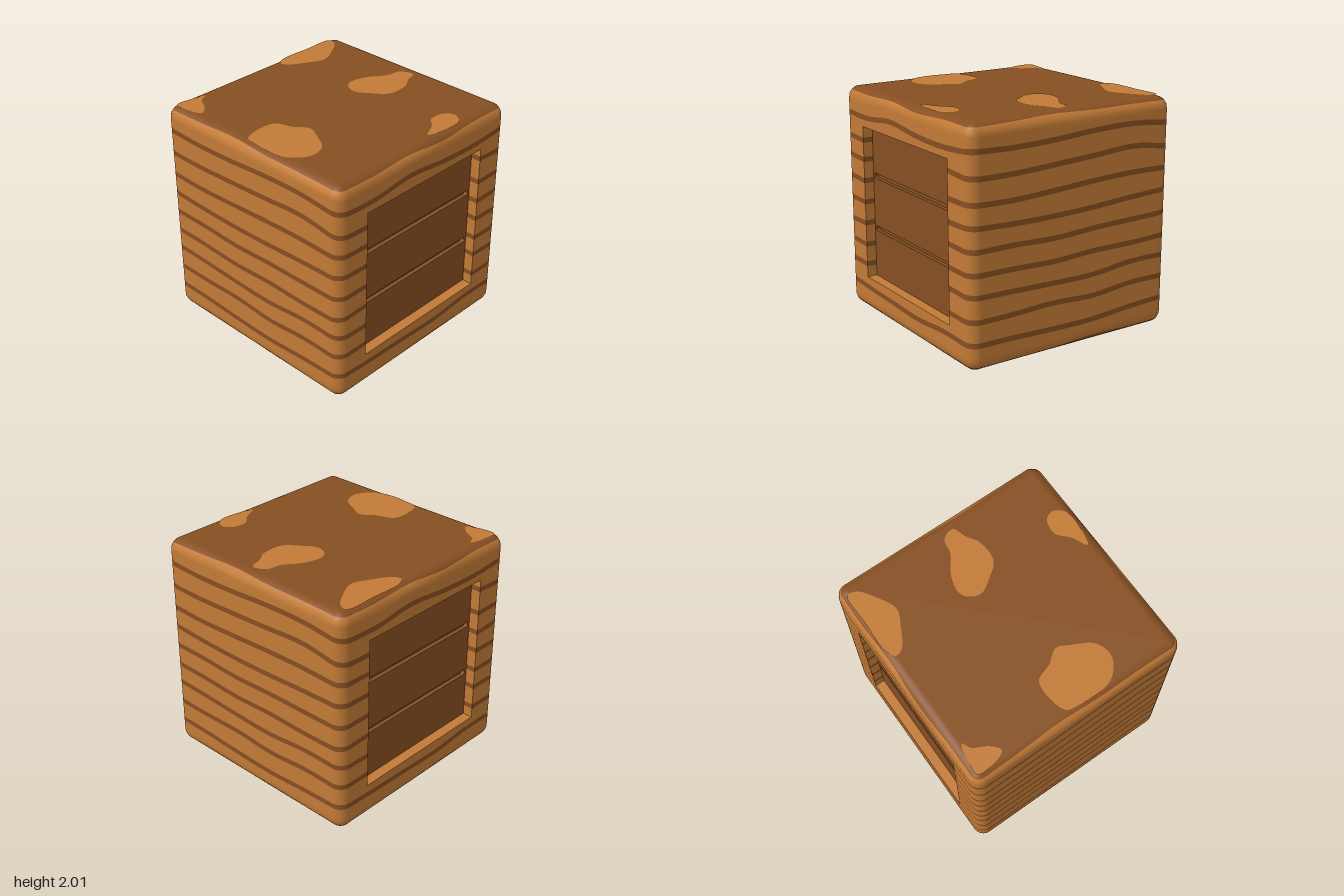
import * as THREE from 'three';

const R = 0.1, CORE = 1 - R;                       // edge radius and flat half-width
const HOLE = { x: 0.685, y0: 0.32, y1: 1.685, depth: 0.09 };

// Heights of the wavy grain lines around half the perimeter (the other half repeats)
const GRAIN = [
  [0.045, 0.045, 0.035, 0.03, 0.04, 0.04, 0.03, 0.035, 0.06, 0.045],
  [0.24, 0.225, 0.215, 0.205, 0.235, 0.23, 0.225, 0.21, 0.205, 0.23],
  [0.44, 0.44, 0.43, 0.43, 0.43, 0.425, 0.425, 0.435, 0.415, 0.445],
  [0.63, 0.62, 0.62, 0.62, 0.635, 0.63, 0.62, 0.605, 0.6, 0.635],
  [0.81, 0.82, 0.81, 0.81, 0.81, 0.81, 0.805, 0.79, 0.805, 0.8],
  [1.01, 1.01, 1.0, 1.0, 1.005, 1.0, 1.0, 0.985, 1.0, 1.005],
  [1.21, 1.2, 1.19, 1.18, 1.18, 1.19, 1.175, 1.17, 1.18, 1.2],
  [1.4, 1.39, 1.38, 1.37, 1.37, 1.375, 1.365, 1.38, 1.4, 1.41],
  [1.58, 1.56, 1.56, 1.57, 1.595, 1.58, 1.575, 1.59, 1.61, 1.63],
  [1.785, 1.77, 1.81, 1.775, 1.765, 1.79, 1.78, 1.79, 1.815, 1.82],
  [1.97, 1.965, 1.975, 1.955, 1.97, 1.97, 1.975, 1.985, 1.975, 1.975],
];

// Blotch outlines as [x, z, x, z, ...]
const TOP_SPOTS = [
  [-0.93, -0.93, -0.8, -0.93, -0.66, -0.89, -0.73, -0.85, -0.8, -0.73, -0.88, -0.67, -0.93, -0.78],
  [0.3, -0.95, 0.6, -0.95, 0.87, -0.94, 0.86, -0.86, 0.73, -0.76, 0.55, -0.68, 0.4, -0.74, 0.25, -0.83, 0.22, -0.9],
  [-0.9, -0.09, -0.6, -0.12, -0.53, 0.03, -0.45, 0.15, -0.5, 0.27, -0.6, 0.43, -0.75, 0.47, -0.9, 0.36, -0.94, 0.2, -0.93, 0.03],
  [0.3, -0.15, 0.38, -0.2, 0.55, -0.16, 0.7, -0.06, 0.83, -0.03, 0.87, 0.08, 0.75, 0.13, 0.65, 0.19, 0.45, 0.19, 0.34, 0.07, 0.27, -0.05],
  [0.12, 0.89, 0.25, 0.82, 0.36, 0.73, 0.5, 0.76, 0.53, 0.84, 0.45, 0.93, 0.25, 0.93],
];
const BOTTOM_SPOTS = [
  [0.91, 0.3, 0.94, 0.05, 0.94, -0.15, 0.76, -0.32, 0.61, -0.11, 0.66, 0.2],
  [0.71, 0.41, 0.45, 0.25, 0.42, 0.13, 0.06, -0.08, -0.08, 0.06, -0.28, 0.52, -0.13, 0.74, 0.13, 0.69, 0.42, 0.72, 0.55, 0.5],
  [-0.11, -0.91, -0.22, -0.94, -0.38, -0.87, -0.49, -0.63, -0.43, -0.57, -0.27, -0.73],
  [-0.77, -0.42, -0.77, -0.56, -0.94, -0.53, -0.93, -0.31],
  [-0.76, 0.32, -0.73, 0.12, -0.93, -0.14, -0.94, 0.15, -0.94, 0.38, -0.88, 0.43],
  [0.91, -0.7, 0.88, -0.75, 0.85, -0.7, 0.88, -0.64],
];

// Height of a grain line at perimeter position u (one unit per side), smoothly interpolated
function lineHeight(line, u) {
  const t = (((u % 2) + 2) % 2) * 5, i = Math.floor(t), f = t - i;
  const [a, b, c, d] = [-1, 0, 1, 2].map(k => line[(i + k + 10) % 10]);
  return b + 0.5 * f * (c - a + f * (2 * a - 5 * b + 4 * c - d + f * (3 * (b - c) + d - a)));
}

// Arc length up the rounded side, and back to height
const toArc = y => y < R ? R - R * Math.asin((R - y) / R)
  : y > 2 - R ? 2 - R + R * Math.asin((y - 2 + R) / R) : y;
const toY = v => v < R ? R - R * Math.sin((R - v) / R)
  : v > 2 - R ? 2 - R + R * Math.sin((v - 2 + R) / R) : v;

// All band limits at u: floor, grain edges, ceiling
function levels(u) {
  const out = [0];
  GRAIN.forEach((line, i) => {
    const y = lineHeight(line, u);
    if (i === 0 || i === GRAIN.length - 1) out.push(y);
    else out.push(y - 0.023, y + 0.023);
  });
  return [...out, 2].map(toArc);
}

// Columns of one side: flat part, then the corner arc
function columns() {
  const cols = [];
  const flat = (a, b, n, gap) => {
    for (let i = 0; i < n; i++) cols.push({ x: a + (b - a) * i / n, t: 0, gap });
  };
  flat(-CORE, -HOLE.x, 4, false);
  flat(-HOLE.x, HOLE.x, 24, true);
  flat(HOLE.x, CORE, 4, false);
  for (let i = 0; i <= 8; i++) cols.push({ x: CORE, t: i / 8, gap: false });
  return cols.map(c => ({ ...c, u: (c.x + 1) / 2 + c.t * R }));
}

function spin(side, x, y, z) {
  for (let i = 0; i < side; i++) [x, z] = [z, -x];
  return [x, y, z];
}

// Striped rounded sides, openings left in front and back
function buildSides() {
  const data = [0, 1].map(() => ({ pos: [], nor: [] }));
  const quad = (d, side, p) => [0, 1, 2, 0, 2, 3].forEach(i => {
    d.pos.push(...spin(side, ...p[i].p));
    d.nor.push(...spin(side, ...p[i].n));
  });
  const point = (c, v) => {
    const y = toY(v), ny = (y - Math.min(Math.max(y, R), 2 - R)) / R;
    const h = Math.sqrt(Math.max(0, 1 - ny * ny)), a = c.t * Math.PI / 2;
    const n = [h * Math.sin(a), ny, h * Math.cos(a)];
    return { p: [c.x + R * n[0], y, CORE + R * n[2]], n };
  };
  const cols = columns();
  for (let side = 0; side < 4; side++) {
    const open = side % 2 === 0;
    for (let i = 0; i < cols.length - 1; i++) {
      const a = cols[i], b = cols[i + 1];
      const la = levels(side + a.u), lb = levels(side + b.u);
      const clips = open && a.gap ? [[-9, HOLE.y0], [HOLE.y1, 9]] : [[-9, 9]];
      for (let k = 0; k < la.length - 1; k++) for (const [lo, hi] of clips) {
        const clip = v => Math.min(Math.max(v, lo), hi);
        const [a0, a1, b0, b1] = [la[k], la[k + 1], lb[k], lb[k + 1]].map(clip);
        if (a1 - a0 < 1e-6 && b1 - b0 < 1e-6) continue;
        for (let s = 0; s < 4; s++) {
          const f = s / 4, g = (s + 1) / 4;
          quad(data[k % 2], side, [point(a, a0 + (a1 - a0) * f), point(b, b0 + (b1 - b0) * f),
            point(b, b0 + (b1 - b0) * g), point(a, a0 + (a1 - a0) * g)]);
        }
      }
    }
    // Grain carried onto the upright walls of each opening
    if (open) for (const sx of [-1, 1]) {
      const x = sx * HOLE.x, l = levels(side + (x + 1) / 2);
      const z0 = sx < 0 ? 1 : 1 - HOLE.depth, z1 = sx < 0 ? 1 - HOLE.depth : 1;
      for (let k = 0; k < l.length - 1; k++) {
        const y0 = Math.max(l[k], HOLE.y0), y1 = Math.min(l[k + 1], HOLE.y1);
        if (y1 <= y0) continue;
        quad(data[k % 2], side, [[y0, z0], [y0, z1], [y1, z1], [y1, z0]]
          .map(([y, z]) => ({ p: [x, y, z], n: [-sx, 0, 0] })));
      }
    }
  }
  return data.map(d => {
    const g = new THREE.BufferGeometry();
    g.setAttribute('position', new THREE.Float32BufferAttribute(d.pos, 3));
    g.setAttribute('normal', new THREE.Float32BufferAttribute(d.nor, 3));
    return g;
  });
}

function roundedSlot(y, w, h, r) {
  const p = new THREE.Path();
  p.absarc(w - r, y + h - r, r, 0, Math.PI / 2);
  p.absarc(-w + r, y + h - r, r, Math.PI / 2, Math.PI);
  p.absarc(-w + r, y - h + r, r, Math.PI, Math.PI * 1.5);
  p.absarc(w - r, y - h + r, r, Math.PI * 1.5, Math.PI * 2);
  p.closePath();
  return p;
}

export function createModel() {
  const model = new THREE.Group();
  const light = new THREE.MeshStandardMaterial({ name: 'light wood', color: 0xc27a36 });
  const dark = new THREE.MeshStandardMaterial({ name: 'dark wood', color: 0x864f22 });
  const add = (parent, name, geo, mat) => {
    const m = new THREE.Mesh(geo, mat);
    m.name = name;
    parent.add(m);
    return m;
  };

  const [darkSides, lightSides] = buildSides();
  add(model, 'darkGrain', darkSides, dark);
  add(model, 'lightGrain', lightSides, light);

  // Flat top and bottom with blotches
  const cap = new THREE.PlaneGeometry(2 * CORE, 2 * CORE);
  add(model, 'topFace', cap.clone().rotateX(-Math.PI / 2).translate(0, 2, 0), dark);
  add(model, 'bottomFace', cap.clone().rotateX(Math.PI / 2), dark);
  const spots = (list, name, up) => list.forEach(flat => {
    const pts = [];
    for (let i = 0; i < flat.length; i += 2) pts.push(new THREE.Vector3(flat[i], -up * flat[i + 1], 0));
    const outline = new THREE.CatmullRomCurve3(pts, true).getPoints(60).slice(0, -1);
    const geo = new THREE.ShapeGeometry(new THREE.Shape(outline.map(p => new THREE.Vector2(p.x, p.y))));
    add(model, name, geo.rotateX(-up * Math.PI / 2), light).position.y = up > 0 ? 2.003 : -0.003;
  });
  spots(TOP_SPOTS, 'topBlotch', 1);
  spots(BOTTOM_SPOTS, 'bottomBlotch', -1);

  // Recessed panel with two slots, front and back
  const { x, y0, y1, depth } = HOLE;
  const face = new THREE.Shape([[-x, y0], [x, y0], [x, y1], [-x, y1]].map(p => new THREE.Vector2(...p)));
  for (const y of [0.765, 1.243]) face.holes.push(roundedSlot(y, 0.663, 0.023, 0.015));
  const panelGeo = new THREE.ExtrudeGeometry(face, { depth: 0.04, bevelEnabled: false, curveSegments: 4 });
  panelGeo.translate(0, 0, 1 - depth - 0.04);
  const backing = new THREE.PlaneGeometry(2 * x, y1 - y0).translate(0, (y0 + y1) / 2, 1 - depth - 0.035);
  const ledge = new THREE.PlaneGeometry(2 * x, depth);
  for (const turn of [0, Math.PI]) {
    const panel = new THREE.Group();
    panel.name = turn ? 'backPanel' : 'frontPanel';
    add(panel, 'slottedBoard', panelGeo, dark);
    add(panel, 'slotBacking', backing, dark);
    add(panel, 'lowerLedge', ledge.clone().rotateX(-Math.PI / 2).translate(0, y0, 1 - depth / 2), light);
    add(panel, 'upperLedge', ledge.clone().rotateX(Math.PI / 2).translate(0, y1, 1 - depth / 2), light);
    panel.rotation.y = turn;
    model.add(panel);
  }
  return model;
}
